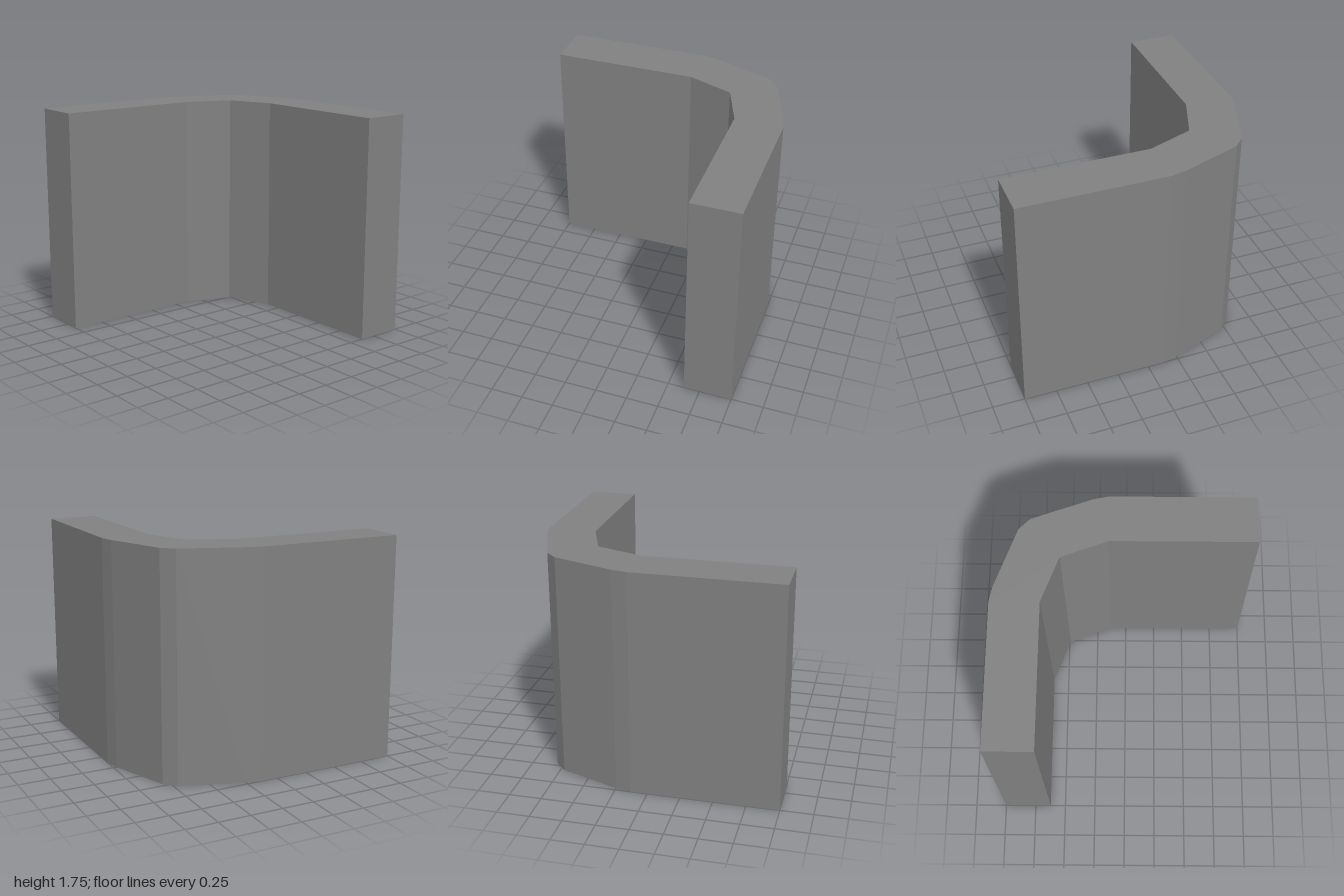
import * as THREE from 'three';

export function createModel() {
  const group = new THREE.Group();
  group.name = 'cornerWall';

  const grey = new THREE.MeshStandardMaterial({ color: 0x808080 });
  grey.name = 'wall grey';

  // Half of the plan as [x, z], from the front wing to the bend;
  // the other half swaps x and z.
  const outer = [[-1, 1], [-1, -0.13], [-0.975, -0.25], [-0.805, -0.72]];
  const inner = [[-0.49, -0.49], [-0.625, -0.13], [-0.625, 1]];
  const swap = (points) => points.map(([x, z]) => [z, x]).reverse();
  const plan = [...outer, ...swap(outer), ...swap(inner.slice(1)), ...inner];

  // Plan drawn with y = -z, extruded and laid so that its depth points up
  const shape = new THREE.Shape(plan.map(([x, z]) => new THREE.Vector2(x, -z)));
  const geometry = new THREE.ExtrudeGeometry(shape, { depth: 1.745, bevelEnabled: false });
  geometry.rotateX(-Math.PI / 2);

  const wall = new THREE.Mesh(geometry, grey);
  wall.name = 'bentWall';
  group.add(wall);
  return group;
}
